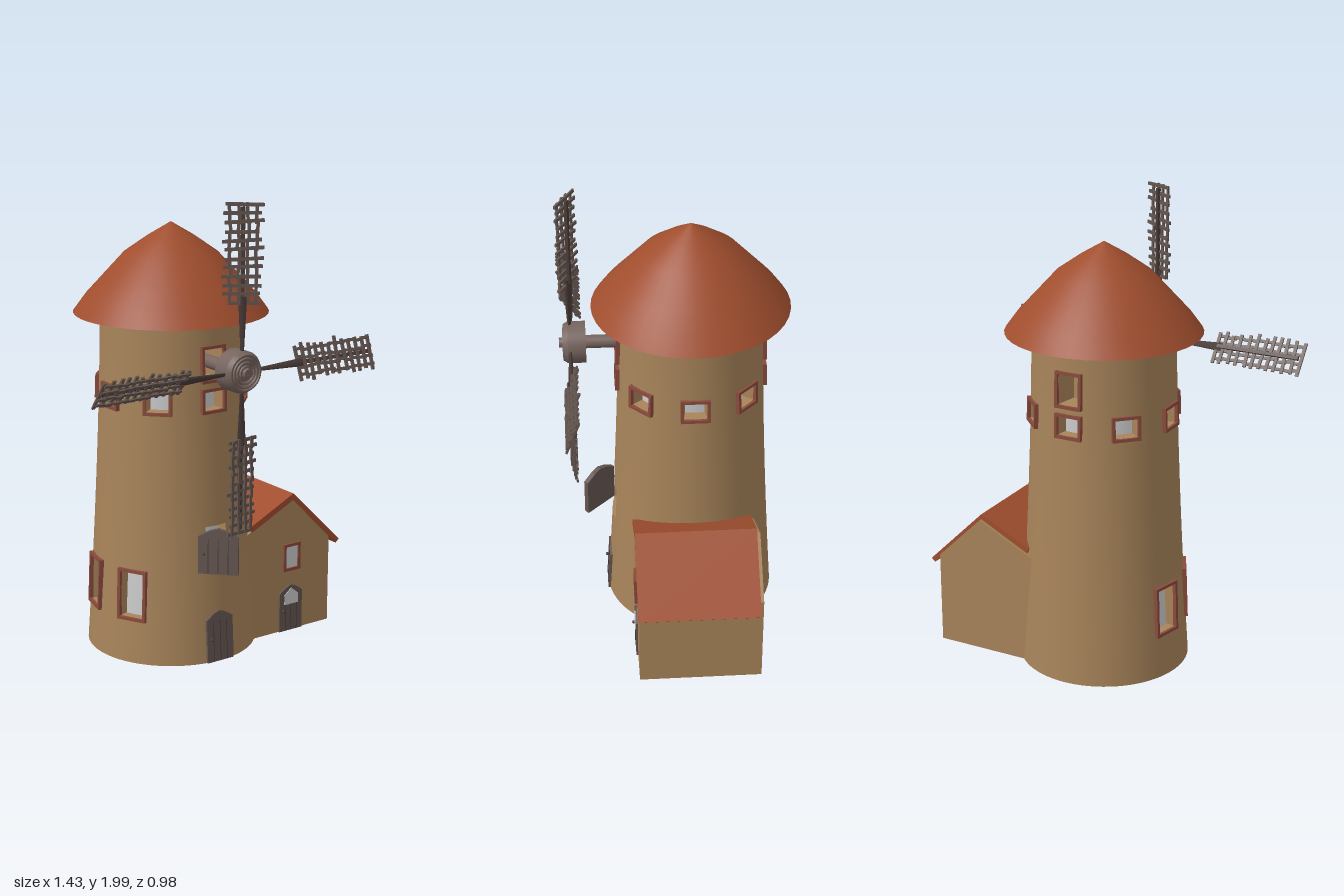
import * as THREE from 'three';
import { toCreasedNormals } from 'three/addons/utils/BufferGeometryUtils.js';

const mat = (color, side = THREE.FrontSide) => new THREE.MeshStandardMaterial({ color, side });
const wallMat = mat(0xa8845a, THREE.DoubleSide);
const roofMat = mat(0xa04e2e);
const frameMat = mat(0x8a4a3c);
const woodMat = mat(0x655650);
const darkMat = mat(0x4a3c38);
const hubMat = mat(0x76645e);
const paneMat = mat(0xcccccc, THREE.DoubleSide);

const CX = -0.02, CZ = -0.07, CELL = Math.PI / 40;   // tower axis, 80 wall cells
const radius = y => 0.303 + 0.067 * Math.pow(1 - Math.min(y, 1.47) / 1.47, 1.5);

function add(parent, name, geo, material, x = 0, y = 0, z = 0) {
  const m = new THREE.Mesh(geo, material);
  m.name = name;
  m.position.set(x, y, z);
  parent.add(m);
  return m;
}
const box = (w, h, d) => new THREE.BoxGeometry(w, h, d);
const poly = pts => new THREE.Shape(pts.map(p => new THREE.Vector2(...p)));
const extrude = (shape, depth) => new THREE.ExtrudeGeometry(shape, { depth, bevelEnabled: false });
const lathe = (pts, n) =>
  toCreasedNormals(new THREE.LatheGeometry(pts.map(p => new THREE.Vector2(...p)), n), 0.5);

// Small seeded generator for the uneven sail laths
let seed = 7;
const jitter = s => {
  seed = (seed * 16807) % 2147483647;
  return (seed / 2147483647 - 0.5) * 2 * s;
};

// Openings in the tower wall: centre cell, half width in cells, heights, depth
const openings = [];
for (let i = 0; i < 8; i++) openings.push({ c: i * 10, h: 2, y0: 1.1, y1: 1.18, d: 0.05, frame: true });
for (const c of [-14, -23]) openings.push({ c, h: 2, y0: 0.2, y1: 0.4, d: 0.04, frame: true });
for (const c of [0, 40]) openings.push({ c, h: 2, y0: 1.23, y1: 1.36, d: 0.1, solid: true, frame: true });
openings.push({ c: 0, h: 3, y0: 0.41, y1: 0.56, d: 0.05 }, { c: 0, h: 2, y0: 0.56, y1: 0.6, d: 0.05 });

// Tower wall as a grid of cells; open cells get a recessed back and reveals
function buildTower(parent) {
  const rows = [0, 0.2, 0.4, 0.41, 0.56, 0.6, 0.77, 0.94, 1.1, 1.18, 1.23, 1.36, 1.48];
  const wall = [], panes = [];
  const point = (i, y, d) => {
    const r = radius(y) - d, a = i * CELL;
    return [CX + r * Math.sin(a), y, CZ + r * Math.cos(a)];
  };
  const quad = (out, a, b, c, d) => out.push(...a, ...b, ...c, ...a, ...c, ...d);
  const find = (i, j) => openings.find(o => {
    const k = ((i + 0.5 - o.c + 200) % 80) - 40;
    return Math.abs(k) < o.h && rows[j] >= o.y0 - 1e-6 && rows[j + 1] <= o.y1 + 1e-6;
  });
  for (let j = 0; j < rows.length - 1; j++) for (let i = 0; i < 80; i++) {
    const o = find(i, j), d = o ? o.d : 0, y0 = rows[j], y1 = rows[j + 1];
    quad(o && !o.solid ? panes : wall,
      point(i, y0, d), point(i + 1, y0, d), point(i + 1, y1, d), point(i, y1, d));
    if (!o) continue;
    for (const [k, n] of [[i, i - 1], [i + 1, i + 1]])
      if (!find(n, j)) quad(wall, point(k, y0, 0), point(k, y0, d), point(k, y1, d), point(k, y1, 0));
    for (const [y, n] of [[y0, j - 1], [y1, j + 1]])
      if (!find(i, n)) quad(wall, point(i, y, 0), point(i + 1, y, 0), point(i + 1, y, d), point(i, y, d));
  }
  for (const [name, data, m] of [['towerWall', wall, wallMat], ['towerPanes', panes, paneMat]]) {
    const g = new THREE.BufferGeometry();
    g.setAttribute('position', new THREE.Float32BufferAttribute(data, 3));
    add(parent, name, toCreasedNormals(g, 0.5), m);
  }
  const base = new THREE.CircleGeometry(radius(0), 80).rotateX(Math.PI / 2);
  add(parent, 'towerBase', base, wallMat, CX, 0, CZ);
}

// Rectangular frame around an opening of w by h, centred on the origin
function windowFrame(w, h) {
  const g = new THREE.Group(), t = 0.013;
  g.name = 'windowFrame';
  for (const s of [-1, 1]) {
    add(g, 'frameRail', box(w + 2 * t, t, 0.022), frameMat, 0, s * (h + t) / 2, 0);
    add(g, 'frameStile', box(t, h, 0.022), frameMat, s * (w + t) / 2, 0, 0);
  }
  return g;
}

// Arched outline with its lower left corner on the origin
const arch = (w, h, c = 0.035) => poly([[0, 0], [w, 0], [w, h - c], [w * 0.72, h - c * 0.3], [w / 2, h],
  [w * 0.28, h - c * 0.3], [0, h - c]]);

// Plank door with its hinge on the left edge
function door(name, w, h, glazed) {
  const g = new THREE.Group();
  g.name = name;
  add(g, 'doorPanel', extrude(arch(w, h), 0.022), woodMat);
  for (let i = 1; i < 4; i++)
    add(g, 'plankGap', box(0.003, h - 0.045, 0.002), darkMat, w * i / 4, (h - 0.04) / 2, 0.022);
  add(g, 'doorHandle', new THREE.SphereGeometry(0.007, 12, 8), darkMat, w * 0.14, h * 0.45, 0.028);
  if (glazed) {
    const pane = poly([[0.025, 0.125], [w - 0.025, 0.125], [w - 0.025, 0.17], [w / 2, 0.2], [0.025, 0.17]]);
    add(g, 'doorPane', extrude(pane, 0.004), paneMat, 0, 0, 0.021);
  }
  return g;
}

// One sail pointing up from the hub, its lattice turned by the given pitch
function sail(pitch) {
  const g = new THREE.Group();
  g.name = 'sail';
  const arm = new THREE.CylinderGeometry(0.024, 0.009, 0.24, 4).rotateY(Math.PI / 4).scale(1, 1, 0.5);
  add(g, 'sailArm', arm, darkMat, 0, 0.19, 0);
  add(g, 'sailSpar', box(0.016, 0.38, 0.014), darkMat, 0, 0.48, -0.006);
  const count = 12, y0 = 0.285, step = 0.395 / (count - 1);
  for (let i = 0; i < count; i++) {
    const y = y0 + i * step;
    const bar = add(g, 'crossLath', box(0.145 + jitter(0.018), 0.014, 0.008), woodMat, jitter(0.008), y + jitter(0.004), 0);
    bar.rotation.z = jitter(0.06);
    if (i < count - 1) for (const x of [-0.054, -0.019, 0.019, 0.054]) {
      const lath = add(g, 'longLath', box(0.013, step + 0.01 + jitter(0.008), 0.007), woodMat, x + jitter(0.005), y + step / 2, 0.006);
      lath.rotation.z = jitter(0.08);
    }
  }
  g.rotation.y = -pitch;
  return g;
}

export function createModel() {
  const model = new THREE.Group();
  model.name = 'windmill';

  // Tower, window frames and bell-shaped roof
  const tower = new THREE.Group();
  tower.name = 'tower';
  model.add(tower);
  buildTower(tower);
  for (const o of openings.filter(o => o.frame)) {
    const y = (o.y0 + o.y1) / 2, r = radius(y), a = o.c * CELL;
    const f = windowFrame(2 * r * Math.sin(o.h * CELL), o.y1 - o.y0);
    f.position.set(CX + r * Math.sin(a), y, CZ + r * Math.cos(a));
    f.rotation.set(-0.04, a, 0, 'YXZ');
    tower.add(f);
  }
  add(tower, 'towerRoof', lathe([[0, 1.475], [0.416, 1.47], [0.365, 1.54], [0.31, 1.6], [0.2, 1.72],
    [0.1, 1.79], [0, 1.85]], 40), roofMat, CX, 0, CZ);

  // Ground door and the open upper door
  const groundDoor = door('groundDoor', 0.135, 0.225);
  groundDoor.position.set(-0.0875, 0, 0.282);
  groundDoor.rotation.x = -0.06;
  const upperDoor = door('upperDoor', 0.17, 0.2);
  upperDoor.position.set(-0.108, 0.41, 0.262);
  upperDoor.rotation.y = -Math.PI / 4;
  model.add(groundDoor, upperDoor);

  // Side house with an uneven gable
  const house = new THREE.Group();
  house.name = 'sideHouse';
  model.add(house);
  const gable = poly([[0.1, 0], [0.66, 0], [0.66, 0.41], [0.45, 0.615], [0.2, 0.49], [0.1, 0.45]]);
  add(house, 'houseWalls', extrude(gable, 0.525), wallMat, 0, 0, -0.335);
  const roof = poly([[0.215, 0.525], [0.225, 0.5], [0.45, 0.608], [0.698, 0.36], [0.715, 0.376], [0.45, 0.638]]);
  add(house, 'houseRoof', extrude(roof, 0.515), roofMat, 0, 0, -0.32);
  const frame = windowFrame(0.066, 0.1);
  frame.position.set(0.445, 0.345, 0.19);
  house.add(frame);
  add(house, 'housePane', box(0.066, 0.1, 0.008), paneMat, 0.445, 0.345, 0.19);
  const houseDoor = door('houseDoor', 0.125, 0.215, true);
  houseDoor.position.set(0.38, 0, 0.176);
  house.add(houseDoor);

  // Axle, ringed hub and four sails
  const rotor = new THREE.Group();
  rotor.name = 'rotor';
  rotor.position.set(CX, 1.3, 0.37);
  model.add(rotor);
  add(rotor, 'axle', new THREE.CylinderGeometry(0.028, 0.028, 0.24, 24).rotateX(Math.PI / 2), hubMat, 0, 0, -0.11);
  const profile = [[0, 0], [0.088, 0], [0.088, 0.075], [0.076, 0.095]];
  for (let r = 0.07; r > 0.03; r -= 0.016)
    profile.push([r, 0.095], [r - 0.002, 0.089], [r - 0.006, 0.089], [r - 0.008, 0.097]);
  profile.push([0.022, 0.097], [0.02, 0.112], [0, 0.112]);
  add(rotor, 'hub', lathe(profile, 36).rotateX(Math.PI / 2), hubMat);
  [0.52, 0.66, 0.15, 0.36].forEach((pitch, i) => {
    const spoke = new THREE.Group();
    spoke.name = 'sailMount';
    spoke.position.z = 0.065;
    spoke.rotation.z = i * Math.PI / 2;
    spoke.add(sail(pitch));
    rotor.add(spoke);
  });
  return model;
}
